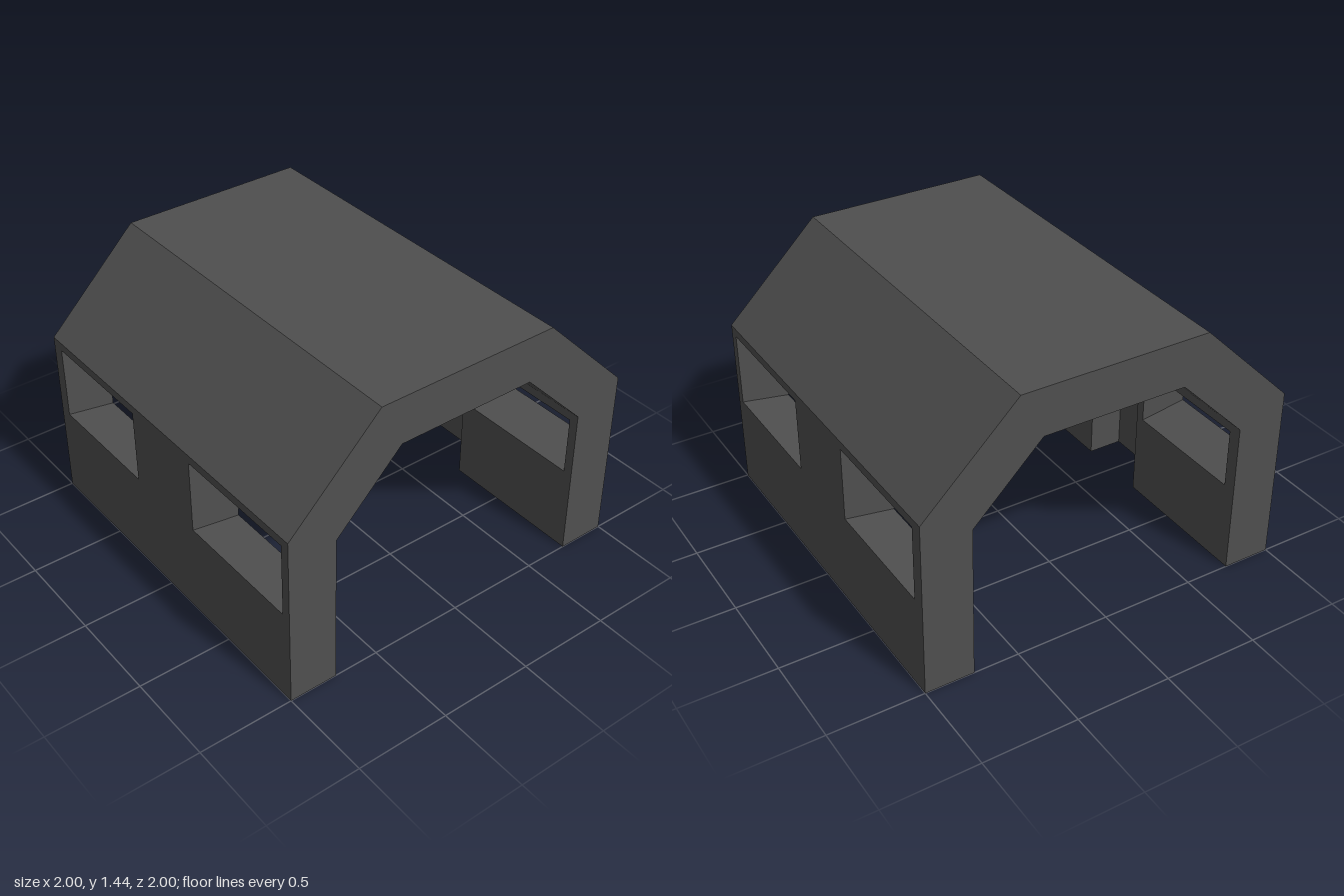
import * as THREE from 'three';

const OUTER = 1, INNER = 0.74, GROOVE = 0.2;

// Outer-edge heights of the wall and the matching heights on its inner face
const INNER_Y = [[0, 0], [0.505, 0.465], [0.905, 0.782], [0.95, 0.83]];

const mirrorOutline = half => [...half, ...half.map(([x, y]) => [-x, y]).reverse()];

// Ring-like arch outline: over the outside, then back along the inside
function archShape(outerHalf, innerHalf) {
  const pts = [...mirrorOutline(outerHalf), ...mirrorOutline(innerHalf).reverse()];
  return new THREE.Shape(pts.map(p => new THREE.Vector2(...p)));
}

function extrudeZ(shape, z0, z1) {
  const g = new THREE.ExtrudeGeometry(shape, { depth: z1 - z0, bevelEnabled: false });
  return g.translate(0, 0, z0);
}

function rectangle(Type, z0, z1, y0, y1) {
  return new Type([[z0, y0], [z1, y0], [z1, y1], [z0, y1]].map(p => new THREE.Vector2(...p)));
}

// Upright wall with a window whose sill and head slope down towards the inside
function wallGeometry(side, z0, z1, w0, w1) {
  const shape = rectangle(THREE.Shape, z0, z1, 0, 0.95);
  shape.holes.push(rectangle(THREE.Path, w0, w1, 0.505, 0.905));
  const g = new THREE.ExtrudeGeometry(shape, { depth: OUTER - INNER, bevelEnabled: false });
  g.rotateY(-Math.PI / 2).translate(side > 0 ? OUTER : -INNER, 0, 0);
  const p = g.attributes.position;
  for (let i = 0; i < p.count; i++) {
    if (Math.abs(p.getX(i)) > 0.9) continue;
    const match = INNER_Y.find(([y]) => Math.abs(y - p.getY(i)) < 0.001);
    p.setY(i, match[1]);
  }
  g.computeVertexNormals();
  return g;
}

export function createModel() {
  const model = new THREE.Group();
  model.name = 'archedShelter';
  const darkGrey = new THREE.MeshStandardMaterial({ color: 0x4f4f4f });
  darkGrey.name = 'darkGrey';

  const add = (name, geometry) => {
    const mesh = new THREE.Mesh(geometry, darkGrey);
    mesh.name = name;
    model.add(mesh);
  };

  // Thick front and back bays, each with a roof and two windowed walls
  const bays = [
    { name: 'front', z: [GROOVE, 1], window: [0.235, 0.95] },
    { name: 'back', z: [-1, -GROOVE], window: [-0.93, -0.25] },
  ];
  const roof = archShape([[OUTER, 0.95], [0.5, 1.44]], [[INNER, 0.83], [0.38, 1.19]]);
  for (const bay of bays) {
    add(bay.name + 'Roof', extrudeZ(roof, ...bay.z));
    for (const side of [1, -1]) {
      add(bay.name + (side > 0 ? 'LeftWall' : 'RightWall'), wallGeometry(side, ...bay.z, ...bay.window));
    }
  }

  // Thin middle arch that leaves a groove on the inside
  const thin = archShape(
    [[OUTER, 0], [OUTER, 0.95], [0.5, 1.44]],
    [[0.93, 0], [0.93, 0.92], [0.47, 1.37]]);
  add('middleArch', extrudeZ(thin, -GROOVE, GROOVE));

  return model;
}
